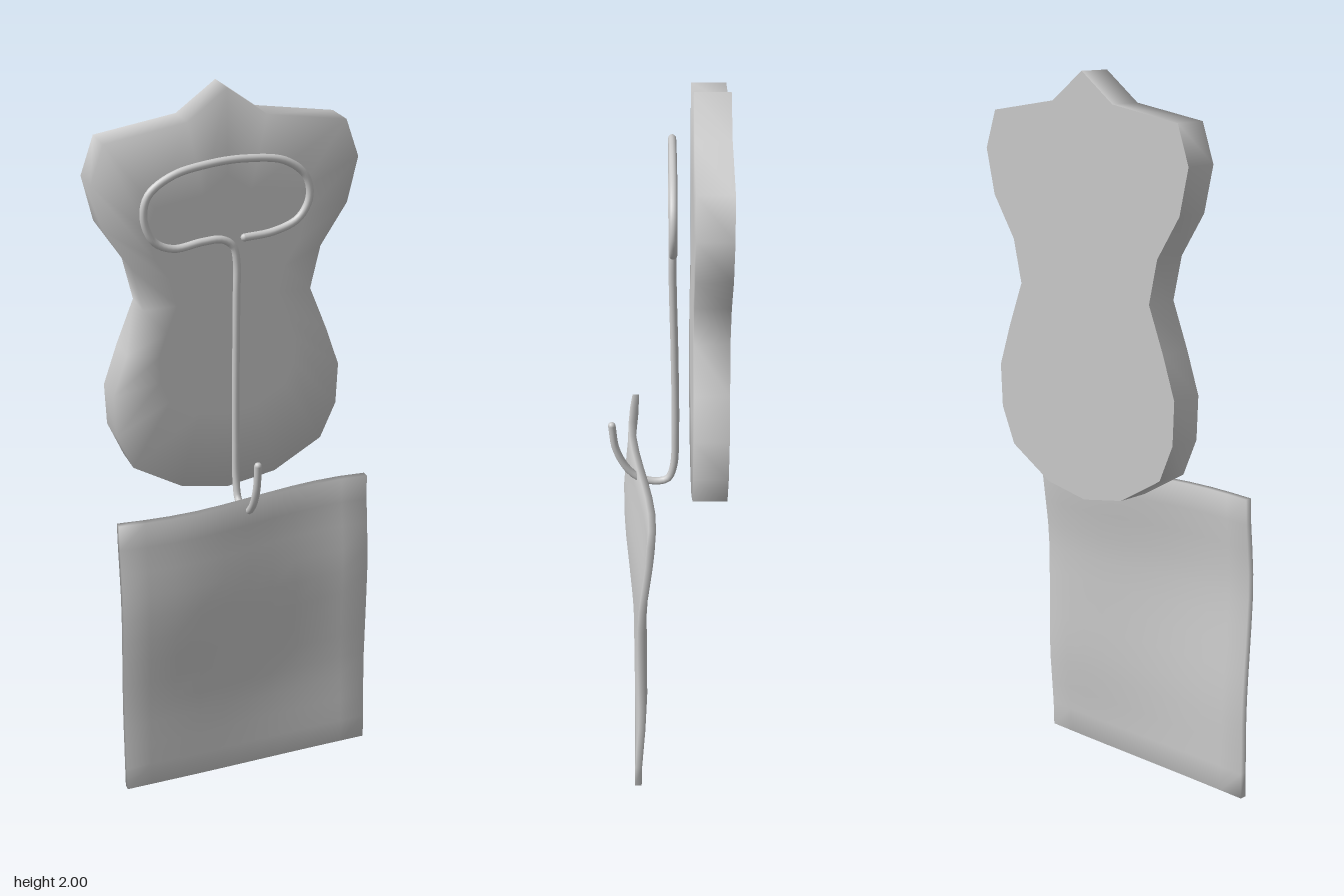
import * as THREE from 'three';
import { mergeVertices } from 'three/addons/utils/BufferGeometryUtils.js';

const grey = new THREE.MeshStandardMaterial({ color: 0xcccccc });

function part(name, geometry) {
  const mesh = new THREE.Mesh(geometry, grey);
  mesh.name = name;
  return mesh;
}

// Shield-shaped backplate: soft front and rim, flat back
function makeBackplate() {
  const half = [[0.11, 1.92], [0.335, 1.885], [0.372, 1.78], [0.343, 1.655], [0.268, 1.54], [0.24, 1.42],
    [0.29, 1.295], [0.33, 1.18], [0.325, 1.06], [0.28, 0.957], [0.14, 0.875]];
  const outline = [[0, 2], ...half.map(([x, y]) => [-x, y]), [0, 0.85], ...half.slice().reverse()];
  const n = outline.length, zBack = -0.16, zFront = -0.067, midY = 1.42;
  const pos = [], idx = [];
  const ring = (scale, z) => outline.forEach(([x, y]) => pos.push(x * scale, midY + (y - midY) * scale, z));
  ring(1, zBack);
  ring(1, zFront);
  ring(0.6, zFront);
  pos.push(0, midY, zFront);
  ring(1, zBack); // separate ring keeps the back edge sharp
  pos.push(0, midY, zBack);
  const backRing = 3 * n + 1;
  for (let i = 0; i < n; i++) {
    const j = (i + 1) % n;
    for (let r = 0; r < 2; r++) {
      const a = r * n + i, b = r * n + j;
      idx.push(a, b, b + n, a, b + n, a + n);
    }
    idx.push(2 * n + i, 2 * n + j, 3 * n);
    idx.push(backRing + j, backRing + i, backRing + n);
  }
  const g = new THREE.BufferGeometry();
  g.setAttribute('position', new THREE.Float32BufferAttribute(pos, 3));
  g.setIndex(idx);
  g.computeVertexNormals();
  return part('backplate', g);
}

// Bent wire: upturned tip, stem and bean-shaped loop
function makeHook() {
  const group = new THREE.Group();
  group.name = 'wireHook';
  const x = 0.006, z = -0.015, radius = 0.0105;
  const points = [
    [x, 1.017, 0.152], [x, 0.94, 0.142], [x, 0.875, 0.112], [x, 0.842, 0.078], [x, 0.829, 0.03],
    [x, 0.838, -0.003], [x, 0.88, -0.019], [x, 1.0, -0.024], [x, 1.25, -0.021], [x, 1.45, -0.016],
    [x, 1.545, z], [-0.004, 1.59, z], [-0.035, 1.612, z], [-0.09, 1.612, z], [-0.17, 1.603, z],
    [-0.222, 1.628, z], [-0.249, 1.695, z], [-0.235, 1.755, z], [-0.17, 1.8, z], [-0.07, 1.821, z],
    [0.03, 1.825, z], [0.14, 1.808, z], [0.2, 1.76, z], [0.211, 1.7, z], [0.18, 1.645, z],
    [0.11, 1.617, z], [0.028, 1.61, z],
  ].map((p) => new THREE.Vector3(...p));
  const curve = new THREE.CatmullRomCurve3(points);
  group.add(part('wire', new THREE.TubeGeometry(curve, 160, radius, 12)));
  [points[0], points[points.length - 1]].forEach((p) => {
    const cap = part('wireEnd', new THREE.SphereGeometry(radius, 12, 8));
    cap.position.copy(p);
    group.add(cap);
  });
  return group;
}

// Piecewise smooth interpolation through [key, value] pairs
function sample(table, t) {
  let i = 0;
  while (i < table.length - 2 && t > table[i + 1][0]) i++;
  const [a, va] = table[i], [b, vb] = table[i + 1];
  const u = (t - a) / (b - a);
  return va + (vb - va) * u * u * (3 - 2 * u);
}

// Hanging sheet with a wave that grows towards its top edge
function makeSheet() {
  const width = 0.75, height = 0.875, thickness = 0.02;
  const leftDepth = [[0, 0.09], [0.2, 0.092], [0.62, 0.117], [0.875, 0.1]];
  const rightDepth = [[0, 0.085], [0.3, 0.067], [0.58, 0.067], [0.875, 0.04]];
  let g = new THREE.BoxGeometry(width, height, thickness, 10, 12, 1);
  g.deleteAttribute('normal');
  g.deleteAttribute('uv');
  g = mergeVertices(g);
  const p = g.attributes.position;
  for (let i = 0; i < p.count; i++) {
    const x = p.getX(i), y = p.getY(i) + height / 2;
    const blend = THREE.MathUtils.smoothstep(x, -0.22, 0.28);
    const curl = -0.01 * Math.max(0, (-x - 0.2) / 0.175) ** 2 + 0.006 * Math.max(0, (x - 0.28) / 0.095) ** 2;
    const depth = THREE.MathUtils.lerp(sample(leftDepth, y), sample(rightDepth, y), blend);
    p.setXYZ(i, x, y, p.getZ(i) + depth + curl * Math.min(1, y / 0.5));
  }
  g.computeVertexNormals();
  return part('hangingSheet', g);
}

export function createModel() {
  const model = new THREE.Group();
  model.name = 'wallHook';
  model.add(makeBackplate(), makeHook(), makeSheet());
  return model;
}
